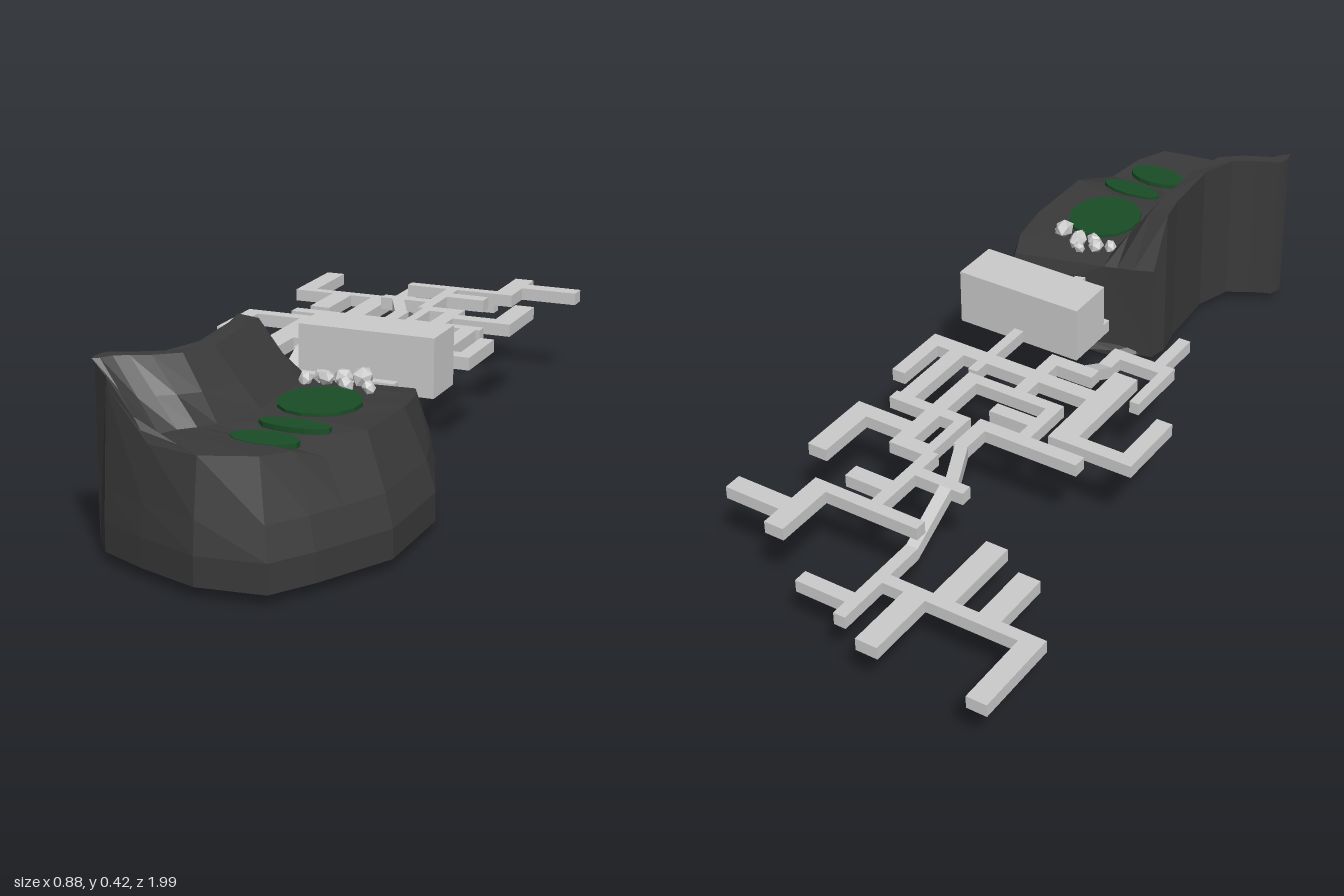
import * as THREE from 'three';

const stone = new THREE.MeshStandardMaterial({ color: 0xcccccc, flatShading: true });
const rockMat = new THREE.MeshStandardMaterial({ color: 0x3a3a3a, flatShading: true });
const grassMat = new THREE.MeshStandardMaterial({ color: 0x1a4d26, flatShading: true });
const H = 0.031; // corridor height

// Corridor footprints per level: [x0, z0, x1, z1]
const upper = [
  [-.07, -.70, .22, -.67], [.17, -.85, .22, -.67], [.22, -.80, .365, -.755],
  [.04, -.67, .07, -.46], [.07, -.63, .17, -.59], [-.085, -.55, .07, -.52],
  [.07, -.48, .16, -.44], [.055, -.47, .08, -.31], [.12, -.44, .16, -.16],
  [.12, -.43, .31, -.39], [.26, -.58, .31, -.39], [-.24, -.335, .035, -.30],
  [0, -.41, .035, -.30], [-.10, -.30, -.07, -.16], [-.07, -.265, .035, -.23],
  [.055, -.34, .26, -.31], [.21, -.31, .25, -.11], [-.10, -.19, .16, -.16],
  [0, -.16, .035, .005], [-.13, -.11, .32, -.07], [.285, -.245, .32, -.07],
  [-.345, -.275, -.13, -.24], [-.345, -.275, -.305, -.09], [-.19, -.275, -.13, .02],
  [-.095, -.03, .035, .005], [.145, -.15, .17, .05], [.145, .20, .17, .40],
  [-.005, .175, .24, .20],
];
const middle = [
  [-.22, -.025, -.195, .145], [-.22, .11, -.055, .145],
  [-.195, .14, -.165, .265], [-.09, .07, -.055, .145],
];
const lower = [
  [-.445, -.81, -.05, -.78], [-.445, -1, -.395, -.78], [-.165, -.98, -.11, -.81],
  [-.335, -.78, -.28, -.63], [-.22, -.78, -.165, -.58],
  [-.055, -.94, -.025, -.68], [-.025, -.90, .105, -.865],
];

function add(parent, name, geometry, material, x = 0, y = 0, z = 0) {
  const mesh = new THREE.Mesh(geometry, material);
  mesh.name = name;
  mesh.position.set(x, y, z);
  parent.add(mesh);
  return mesh;
}

function block(parent, name, [x0, z0, x1, z1], y, h) {
  add(parent, name, new THREE.BoxGeometry(x1 - x0, h, z1 - z0), stone,
    (x0 + x1) / 2, y + h / 2, (z0 + z1) / 2);
}

// Corridor sheared between two floor points, a (back) and b (front)
function passage(parent, name, a, b, width) {
  const geo = new THREE.BoxGeometry(width, H, 1);
  const p = geo.attributes.position;
  for (let i = 0; i < p.count; i++) {
    const t = p.getZ(i) + 0.5;
    p.setXYZ(i,
      p.getX(i) + THREE.MathUtils.lerp(a[0], b[0], t),
      p.getY(i) + H / 2 + THREE.MathUtils.lerp(a[1], b[1], t),
      THREE.MathUtils.lerp(a[2], b[2], t));
  }
  geo.computeVertexNormals();
  add(parent, name, geo, stone);
}

// Curved rock: cross-sections swept from back to front
function rockGeometry() {
  // inner wall, ridge, foot of slope, shelf edge (x, y, z each), outer base (x, z)
  const sections = [
    [-.025, .28, .38, .02, .28, .36, .10, .27, .35, .33, .26, .30, .365, .265],
    [-.035, .42, .425, .015, .415, .425, .11, .28, .41, .36, .27, .37, .40, .36],
    [-.02, .42, .50, .02, .42, .50, .11, .28, .49, .375, .275, .48, .44, .46],
    [-.01, .42, .66, .025, .415, .66, .115, .28, .63, .37, .28, .67, .44, .70],
    [-.04, .42, .75, 0, .42, .75, .07, .275, .74, .33, .25, .78, .39, .80],
    [-.09, .42, .78, -.05, .42, .79, .05, .28, .79, .29, .28, .85, .35, .88],
    [-.12, .42, .795, -.09, .42, .81, .02, .28, .82, .25, .285, .92, .29, .975],
    [-.145, .42, .805, -.12, .42, .825, 0, .28, .86, .13, .28, .95, .14, .993],
    [-.15, .42, .82, -.135, .42, .85, -.04, .32, .89, .01, .28, .925, 0, .945],
    [-.153, .42, .84, -.148, .42, .86, -.11, .39, .872, -.10, .35, .88, -.11, .895],
  ];
  const rings = sections.map((s) => {
    const [ix, iy, iz, rx, ry, rz, sx, sy, sz, ex, ey, ez, ox, oz] = s;
    const side = (t, y) => [ex + (ox - ex) * t, y, ez + (oz - ez) * t];
    return [
      [ix, .025, iz], [ix, .2, iz], [ix, iy, iz], [rx, ry, rz],
      [(rx + sx) / 2 + .005, ry * .45 + sy * .55, (rz + sz) / 2], [sx, sy, sz],
      [(sx + ex) / 2, (sy + ey) / 2, (sz + ez) / 2], [ex, ey, ez],
      side(.7, .16), side(1, .09), [ox, .025, oz],
    ];
  });
  const pos = [], n = rings[0].length, foot = 5;
  const tri = (...pts) => pts.forEach((p) => pos.push(...p));
  for (let k = 0; k < rings.length - 1; k++) {
    for (let i = 0; i < n; i++) {
      const j = (i + 1) % n;
      const a = rings[k][i], b = rings[k][j], c = rings[k + 1][j], d = rings[k + 1][i];
      tri(a, d, b);
      tri(b, d, c);
    }
  }
  // End caps fan out from the foot of the slope
  const first = rings[0], last = rings[rings.length - 1];
  for (let i = 0; i < n; i++) {
    const j = (i + 1) % n;
    if (i === foot || j === foot) continue;
    tri(first[foot], first[i], first[j]);
    tri(last[foot], last[j], last[i]);
  }
  const geo = new THREE.BufferGeometry();
  geo.setAttribute('position', new THREE.Float32BufferAttribute(pos, 3));
  geo.computeVertexNormals();
  return geo;
}

export function createModel() {
  const model = new THREE.Group();
  model.name = 'caveComplex';

  // Maze of corridors on three levels
  const maze = new THREE.Group();
  maze.name = 'corridors';
  model.add(maze);
  upper.forEach((r) => block(maze, 'upperCorridor', r, .2, H));
  middle.forEach((r) => block(maze, 'middleCorridor', r, .168, H));
  lower.forEach((r) => block(maze, 'lowerCorridor', r, .125, H));
  passage(maze, 'diagonalCorridor', [-.042, .2, -.53], [.018, .2, -.40], .033);
  passage(maze, 'lowerRamp', [-.04, .125, -.68], [-.04, .2, -.55], .03);
  passage(maze, 'middleRamp', [-.072, .2, .005], [-.072, .168, .07], .035);

  // Entrance hall
  block(model, 'hall', [-.005, .05, .325, .175], .2, .14);

  // Rock with a rounded lump under its back end
  add(model, 'rock', rockGeometry(), rockMat);
  const lump = add(model, 'rockUnderside', new THREE.IcosahedronGeometry(1, 1), rockMat, .13, .03, .41);
  lump.scale.set(.14, .03, .09);

  // Grass patches on the shelf: x, z, radius x, radius z, y
  [[.21, .54, .09, .1, .281], [.225, .70, .08, .03, .279], [.205, .80, .075, .042, .276]]
    .forEach(([x, z, rx, rz, y]) => {
      const patch = add(model, 'grassPatch', new THREE.CylinderGeometry(1, 1, .012, 14), grassMat, x, y, z);
      patch.scale.set(rx, 1, rz);
    });

  // Cluster of pale boulders at the tunnel mouth: x, y, z, size
  [[.12, .287, .415, .018], [.15, .292, .395, .021], [.165, .295, .41, .02], [.20, .295, .39, .024],
    [.215, .288, .415, .018], [.25, .305, .405, .027], [.185, .287, .372, .016], [.27, .288, .42, .016]]
    .forEach(([x, y, z, s], i) => {
      const boulder = add(model, 'boulder', new THREE.IcosahedronGeometry(s, 0), stone, x, y, z);
      boulder.rotation.set(i, i * 1.7, i * .6);
      boulder.scale.set(.85, 1.15, .9);
    });

  return model;
}
